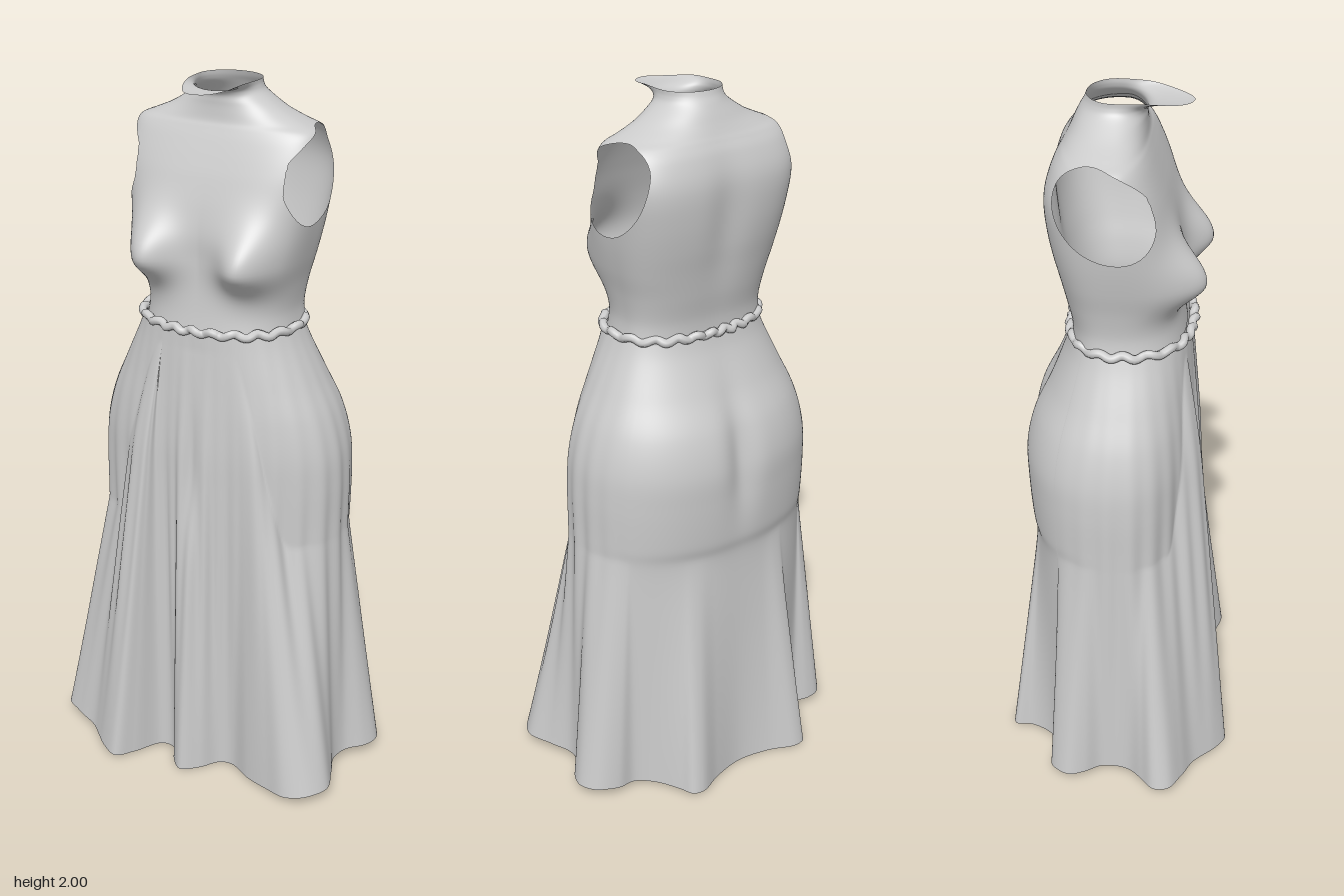
import * as THREE from 'three';
import { mergeVertices } from 'three/addons/utils/BufferGeometryUtils.js';

const { smoothstep, lerp, clamp } = THREE.MathUtils;
const bell = (v, centre, width) => Math.exp(-(((v - centre) / width) ** 2));

const material = new THREE.MeshStandardMaterial({
  color: 0xcccccc, roughness: 0.8, side: THREE.DoubleSide,
});

// Smooth interpolation through rows of section values, t from 0 to 1
function sectionAt(rows, t) {
  const f = t * (rows.length - 1);
  const i = Math.min(Math.floor(f), rows.length - 2);
  const u = f - i;
  const row = (k) => rows[clamp(k, 0, rows.length - 1)];
  return rows[i].map((b, k) => {
    const a = row(i - 1)[k], c = row(i + 1)[k], d = row(i + 2)[k];
    return b + 0.5 * u * (c - a + u * (2 * a - 5 * b + 4 * c - d + u * (3 * (b - c) + d - a)));
  });
}

// Radius of a superellipse at an angle
function radiusAt(angle, a, b, n) {
  return (Math.abs(Math.cos(angle) / a) ** n + Math.abs(Math.sin(angle) / b) ** n) ** (-1 / n);
}

// Closed-loop surface from point(column, t); keep(p) > 0 marks the part that stays
function loopSurface(columns, levels, point, keep) {
  const grid = [];
  for (let j = 0; j <= levels; j++) {
    const loop = [];
    for (let i = 0; i < columns; i++) loop.push(point(i, j / levels));
    grid.push(loop);
  }
  const out = [];
  const addTriangle = (tri) => {
    const poly = [];
    tri.forEach((p, k) => {
      const q = tri[(k + 1) % 3];
      const fp = keep ? keep(p) : 1, fq = keep ? keep(q) : 1;
      if (fp >= 0) poly.push(p);
      if (fp >= 0 !== fq >= 0) poly.push(p.clone().lerp(q, fp / (fp - fq)));
    });
    for (let k = 1; k + 1 < poly.length; k++) {
      for (const p of [poly[0], poly[k], poly[k + 1]]) out.push(p.x, p.y, p.z);
    }
  };
  for (let j = 0; j < levels; j++) {
    for (let i = 0; i < columns; i++) {
      const n = (i + 1) % columns;
      const a = grid[j][i], b = grid[j][n], c = grid[j + 1][i], d = grid[j + 1][n];
      addTriangle([a, c, b]);
      addTriangle([b, c, d]);
    }
  }
  const geometry = new THREE.BufferGeometry();
  geometry.setAttribute('position', new THREE.Float32BufferAttribute(out, 3));
  const merged = mergeVertices(geometry, 1e-5);
  merged.computeVertexNormals();
  return merged;
}

// Torso sections: y, half width, front z, back z, squareness
const TORSO = [
  [1.345, 0.222, 0.168, -0.14, 2.5],
  [1.40, 0.216, 0.16, -0.143, 2.5],
  [1.47, 0.226, 0.153, -0.158, 2.6],
  [1.54, 0.243, 0.15, -0.172, 2.8],
  [1.61, 0.257, 0.15, -0.187, 3.0],
  [1.68, 0.267, 0.138, -0.197, 3.3],
  [1.75, 0.275, 0.118, -0.201, 3.6],
  [1.80, 0.276, 0.10, -0.196, 3.6],
  [1.85, 0.272, 0.08, -0.18, 3.2],
  [1.88, 0.262, 0.067, -0.164, 2.7],
  [1.897, 0.225, 0.06, -0.154, 2.4],
  [1.92, 0.172, 0.057, -0.142, 2.2],
  [1.945, 0.13, 0.056, -0.13, 2.1],
  [1.968, 0.1, 0.06, -0.118, 2.0],
  [1.985, 0.091, 0.088, -0.108, 2.0],
  [2.0, 0.09, 0.175, -0.102, 2.0],
];

function makeTorso() {
  const columns = 180, zc = -0.025;
  const point = (i, t) => {
    const angle = (i / columns) * Math.PI * 2;
    const [y, width, front, back, n] = sectionAt(TORSO, t);
    const s = Math.sin(angle);
    const r = radiusAt(angle, width, s > 0 ? front - zc : zc - back, n);
    const x = r * Math.cos(angle);
    let z = zc + r * s;
    if (s > 0) {
      // bust, fuller below than above
      const rise = bell(y, 1.54, y < 1.54 ? 0.068 : 0.1);
      z += 0.092 * bell(Math.abs(x), 0.15, 0.08) * rise * smoothstep(s, 0, 0.4);
    } else {
      // hollow along the spine
      z += 0.014 * bell(x, 0, 0.06) * bell(y, 1.68, 0.16);
    }
    // the collar tongue dips toward its tip
    return new THREE.Vector3(x, y - 0.014 * smoothstep(z, 0.04, 0.17) * smoothstep(y, 1.96, 2), z);
  };
  // slanted oval armholes
  const keep = (p) => {
    const v = p.y - 1.765;
    const oval = ((p.z + 0.03 + 0.25 * v) / 0.126) ** 2 + (v / 0.127) ** 2 - 1;
    return Math.max(oval, (0.222 - Math.abs(p.x)) * 20);
  };
  return loopSurface(columns, 90, point, keep);
}

// Skirt sections: y, half width, front z, back z, squareness
const SKIRT = [
  [0, 0.37, 0.2, -0.25, 2.3],
  [0.25, 0.37, 0.2, -0.25, 2.3],
  [0.5, 0.37, 0.2, -0.25, 2.3],
  [0.7, 0.37, 0.2, -0.252, 2.3],
  [0.78, 0.37, 0.2, -0.266, 2.3],
  [0.9, 0.37, 0.2, -0.275, 2.3],
  [1.0, 0.362, 0.2, -0.276, 2.3],
  [1.1, 0.336, 0.196, -0.253, 2.3],
  [1.2, 0.292, 0.191, -0.205, 2.3],
  [1.3, 0.246, 0.187, -0.163, 2.3],
  [1.36, 0.223, 0.185, -0.148, 2.3],
];

// Wavy hem outline as x, z
const HEM = [
  [0.395, 0.05], [0.42, 0.12], [0.443, 0.2], [0.41, 0.26], [0.35, 0.285], [0.28, 0.265],
  [0.2, 0.235], [0.13, 0.195], [0.09, 0.2], [0.05, 0.25], [0, 0.285], [-0.04, 0.25],
  [-0.07, 0.2], [-0.11, 0.2], [-0.16, 0.28], [-0.2, 0.328], [-0.26, 0.3], [-0.33, 0.24],
  [-0.4, 0.21], [-0.46, 0.175], [-0.468, 0.13], [-0.43, 0.09], [-0.39, 0.045], [-0.385, -0.03],
  [-0.42, -0.08], [-0.435, -0.13], [-0.4, -0.18], [-0.36, -0.183], [-0.31, -0.167],
  [-0.25, -0.205], [-0.215, -0.27], [-0.215, -0.32], [-0.18, -0.328], [-0.1, -0.29],
  [0, -0.27], [0.1, -0.29], [0.18, -0.323], [0.215, -0.315], [0.23, -0.28], [0.27, -0.21],
  [0.32, -0.172], [0.38, -0.175], [0.44, -0.15], [0.466, -0.1], [0.45, -0.05], [0.405, 0],
];

function makeSkirt() {
  const columns = 360;
  const curve = new THREE.CatmullRomCurve3(HEM.map(([x, z]) => new THREE.Vector3(x, 0, z)), true);
  const hem = curve.getSpacedPoints(columns);
  const point = (i, t) => {
    const h = hem[i];
    const angle = Math.atan2(h.z, h.x);
    const s = Math.sin(angle);
    const [y, width, front, back, n] = sectionAt(SKIRT, t);
    let r = radiusAt(angle, width, s > 0 ? front : -back, n);
    const x = r * Math.cos(angle);
    // folds open from the hips at the sides and back, from the waist in front
    const start = lerp(0.73, 1.3, smoothstep(s, 0.45, 0.85));
    const w = clamp((start - y) / start, 0, 1);
    r = lerp(r, Math.hypot(h.x, h.z), w);
    // fine gathers
    r += 0.004 * Math.sin(angle * 34) * smoothstep(s, -0.5, 0.1) * bell(y, 0.65, 0.4);
    if (s > 0) r -= 0.022 * bell(x, 0.005, 0.018) * bell(y, 0.95, 0.2);
    else r -= 0.028 * bell(x, 0, 0.05) * bell(y, 1.02, 0.16);
    const lift = 0.03 * Math.min(1, (h.x / 0.42) ** 2) * (1 - t);
    return new THREE.Vector3(r * Math.cos(angle), y + lift, r * s);
  };
  return loopSurface(columns, 80, point);
}

// Gathered ruffle around the waist
function makeWaistRuffle() {
  const points = [];
  for (let i = 0; i < 160; i++) {
    const a = (i / 160) * Math.PI * 2;
    const wave = Math.sin(a * 26) + 0.5 * Math.sin(a * 17 + 1);
    const r = radiusAt(a, 0.229, a < Math.PI ? 0.187 : 0.15, 2.3) + 0.003 * wave;
    points.push(new THREE.Vector3(r * Math.cos(a), 1.355 + 0.005 * Math.sin(a * 21), r * Math.sin(a)));
  }
  return new THREE.TubeGeometry(new THREE.CatmullRomCurve3(points, true), 320, 0.012, 8, true);
}

export function createModel() {
  const group = new THREE.Group();
  group.name = 'dress';
  const parts = { bodice: makeTorso(), skirt: makeSkirt(), waistRuffle: makeWaistRuffle() };
  for (const [name, geometry] of Object.entries(parts)) {
    const mesh = new THREE.Mesh(geometry, material);
    mesh.name = name;
    group.add(mesh);
  }
  return group;
}
